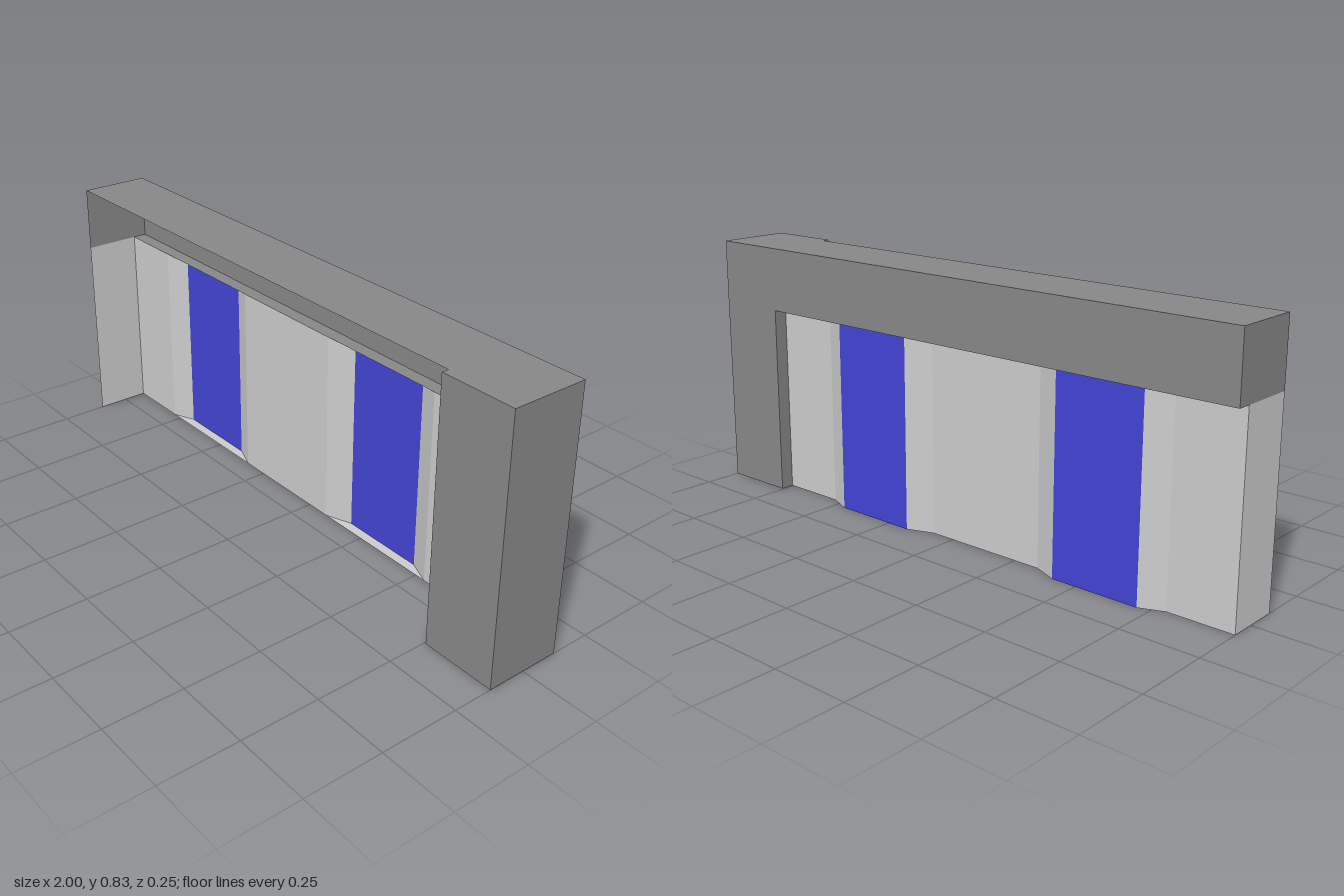
import * as THREE from 'three';

const BACK = -0.123, FRONT = 0.123, LIP = 0.1, PANEL = -0.078, BAY = -0.11;
const TOP = 0.833, HEAD = 0.625, JAMB = 0.755;

const material = (color) => new THREE.MeshStandardMaterial({ color, side: THREE.DoubleSide });

// Upright sheet that follows a plan path of [x, z] points, with sharp folds
function wall(name, path, y0, y1, mat) {
  const pos = [];
  for (let i = 0; i < path.length - 1; i++) {
    const [ax, az] = path[i], [bx, bz] = path[i + 1];
    pos.push(ax, y0, az, bx, y0, bz, bx, y1, bz, ax, y0, az, bx, y1, bz, ax, y1, az);
  }
  const geo = new THREE.BufferGeometry();
  geo.setAttribute('position', new THREE.Float32BufferAttribute(pos, 3));
  geo.computeVertexNormals();
  const mesh = new THREE.Mesh(geo, mat);
  mesh.name = name;
  return mesh;
}

// Level sheet with a plan outline of [x, z] points, facing up
function slab(name, outline, y, mat) {
  const shape = new THREE.Shape(outline.map(([x, z]) => new THREE.Vector2(x, -z)));
  const geo = new THREE.ShapeGeometry(shape).rotateX(-Math.PI / 2).translate(0, y, 0);
  const mesh = new THREE.Mesh(geo, mat);
  mesh.name = name;
  return mesh;
}

export function createModel() {
  const model = new THREE.Group();
  model.name = 'wallUnit';
  const grey = material(0xcccccc), dark = material(0x878787), blue = material(0x4343d4);

  // Dark surround: open-fronted header shell and the end pillar
  const surround = new THREE.Group();
  surround.name = 'surround';
  surround.add(
    wall('headerShell', [[JAMB, BACK], [-1, BACK], [-1, LIP]], HEAD, TOP, dark),
    slab('headerSoffit', [[-1, PANEL], [JAMB, PANEL], [JAMB, BACK], [-1, BACK]], HEAD, dark),
    slab('roof', [[-1, LIP], [JAMB, LIP], [JAMB, FRONT], [1, FRONT], [1, BACK], [-1, BACK]], TOP, dark),
    wall('pillarShell', [[JAMB, FRONT], [1, FRONT], [1, BACK], [JAMB, BACK]], 0, TOP, dark),
    wall('pillarJamb', [[JAMB, BACK], [JAMB, PANEL]], 0, HEAD, dark),
  );
  model.add(surround);

  // Folded wall: flats between the bays, each bay with slanted cheeks and a blue door
  const bays = [[-0.786, -0.711, -0.417, -0.337], [0.08, 0.168, 0.457, 0.535]];
  let start = [[-1, LIP], [-1, PANEL]];
  for (const [a, b, c, d] of bays) {
    const corners = [[a, PANEL], [b, BAY], [c, BAY], [d, PANEL]];
    const bay = new THREE.Group();
    bay.name = 'bay';
    bay.add(
      wall('cheek', corners.slice(0, 2), 0, HEAD, grey),
      wall('door', corners.slice(1, 3), 0, HEAD, blue),
      wall('cheek', corners.slice(2), 0, HEAD, grey),
      slab('baySill', [...corners].reverse(), 0, grey),
    );
    model.add(wall('wallPanel', [...start, corners[0]], 0, HEAD, grey), bay);
    start = [corners[3]];
  }
  model.add(wall('wallPanel', [...start, [JAMB, PANEL]], 0, HEAD, grey));
  return model;
}
